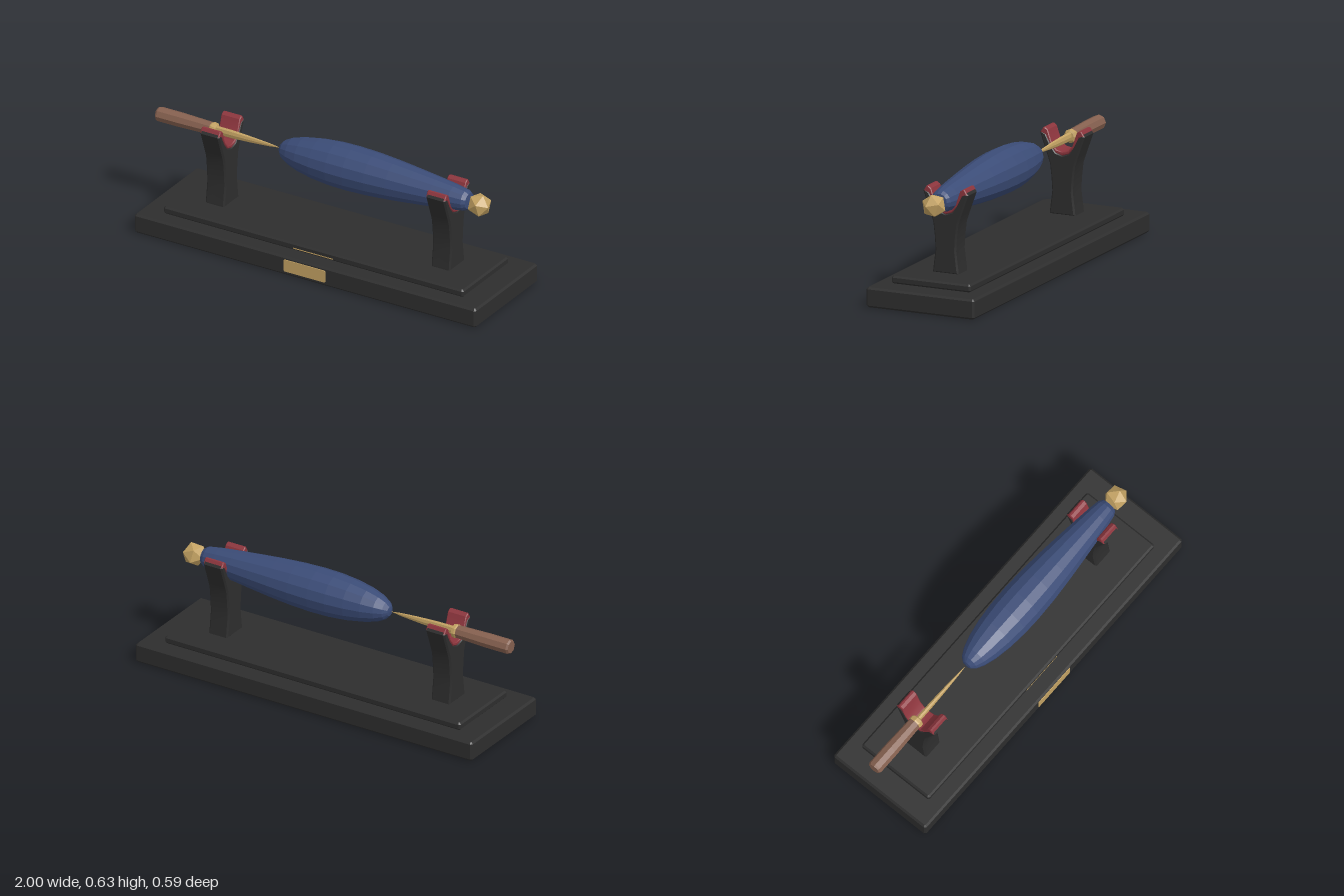
import * as THREE from 'three';
import { toCreasedNormals } from 'three/addons/utils/BufferGeometryUtils.js';

const material = (name, color, flatShading = false) => {
  const m = new THREE.MeshStandardMaterial({ color });
  m.name = name;
  m.flatShading = flatShading;
  return m;
};

export function createModel() {
  const black = material('black lacquer', 0x2d2d2d);
  const red = material('red felt', 0x8c353d);
  const blue = material('navy blue', 0x3b4c77, true);
  const gold = material('brass', 0xc2a162, true);
  const brown = material('brown wood', 0x85604f, true);

  const model = new THREE.Group();
  model.name = 'displayStand';

  const add = (name, geometry, mat, x = 0, y = 0, z = 0, parent = model) => {
    const mesh = new THREE.Mesh(geometry, mat);
    mesh.name = name;
    mesh.position.set(x, y, z);
    parent.add(mesh);
    return mesh;
  };

  // Extrusion whose chamfer stays inside the given outline, centred on its depth
  const chamfered = (points, depth, bevel) => {
    const shape = new THREE.Shape(points.map(([x, y]) => new THREE.Vector2(x, y)));
    const geometry = new THREE.ExtrudeGeometry(shape, {
      depth: depth - 2 * bevel, bevelEnabled: true, bevelSegments: 1,
      bevelThickness: bevel, bevelSize: bevel, bevelOffset: -bevel,
    });
    geometry.translate(0, 0, -(depth - 2 * bevel) / 2);
    return toCreasedNormals(geometry, 0.45);
  };

  // Flat slab with chamfered edges and corners
  const slab = (w, h, d, bevel) => {
    const x = w / 2, z = d / 2, c = bevel;
    return chamfered([
      [-x + c, -z], [x - c, -z], [x, -z + c], [x, z - c],
      [x - c, z], [-x + c, z], [-x, z - c], [-x, -z + c],
    ], h, bevel).rotateX(-Math.PI / 2);
  };

  // Turned part along x from [x, radius] pairs
  const turned = (profile, sides) => new THREE.LatheGeometry(
    profile.map(([x, r]) => new THREE.Vector2(r, x)), sides).rotateZ(-Math.PI / 2);

  // Stepped base and plaque
  add('base', slab(1.96, 0.102, 0.588, 0.01), black, 0.02, 0.051);
  add('baseStep', slab(1.72, 0.04, 0.43, 0.009), black, 0.02, 0.121);
  add('plaque', chamfered([
    [-0.12, -0.027], [-0.115, -0.033], [0.115, -0.033], [0.12, -0.027],
    [0.12, 0.027], [0.115, 0.033], [-0.115, 0.033], [-0.12, 0.027],
  ], 0.008, 0.001), gold, 0.02, 0.053, 0.293);
  add('plaqueTrim', new THREE.BoxGeometry(0.23, 0.005, 0.004), gold, 0.02, 0.113, 0.214);

  // Half outlines in z and y: the lining sits in the notch of the cradle
  const mirrored = (half) => [
    ...half, ...half.filter(([z]) => z > 0).reverse().map(([z, y]) => [-z, y]),
  ];
  const cradleOutline = mirrored([
    [0, 0.138], [0.07, 0.138], [0.068, 0.16], [0.056, 0.255], [0.06, 0.32],
    [0.068, 0.39], [0.083, 0.435], [0.122, 0.543], [0.113, 0.555],
    [0.088, 0.541], [0.06, 0.485], [0.035, 0.452], [0, 0.441],
  ]);
  const liningOutline = mirrored([
    [0, 0.438], [0.036, 0.449], [0.062, 0.482], [0.09, 0.535], [0.119, 0.545],
    [0.104, 0.57], [0.094, 0.571], [0.079, 0.56], [0.056, 0.492], [0.031, 0.464], [0, 0.457],
  ]);
  for (const [side, x] of [['right', -0.633], ['left', 0.662]]) {
    const cradle = new THREE.Group();
    cradle.name = side + 'Cradle';
    cradle.position.x = x;
    model.add(cradle);
    add('cradlePost', chamfered(cradleOutline, 0.11, 0.008).rotateY(Math.PI / 2), black, 0, 0, 0, cradle);
    add('cradleLining', chamfered(liningOutline, 0.108, 0.004).rotateY(Math.PI / 2), red, 0, 0, 0, cradle);
  }

  const axis = 0.515;

  // Long tapered body with a faceted end knob
  add('body', turned([
    [-0.298, 0], [-0.294, 0.025], [-0.275, 0.047], [-0.235, 0.068], [-0.17, 0.088],
    [-0.08, 0.104], [0.02, 0.113], [0.12, 0.115], [0.24, 0.111], [0.36, 0.102],
    [0.48, 0.09], [0.6, 0.077], [0.7, 0.065], [0.765, 0.054], [0.785, 0.042], [0.79, 0],
  ], 14), blue, 0, axis);
  const knob = add('endKnob', new THREE.IcosahedronGeometry(0.062, 0), gold, 0.843, 0.51);
  knob.rotation.set(0.2, 0.3, 0.15);

  // Wooden handle, collar and slim blade
  add('handle', turned([
    [-1, 0], [-1, 0.032], [-0.99, 0.038], [-0.87, 0.038], [-0.69, 0.033], [-0.69, 0],
  ], 8), brown, 0, axis);
  add('collar', turned([
    [-0.695, 0], [-0.695, 0.032], [-0.685, 0.036], [-0.668, 0.034], [-0.662, 0.024], [-0.66, 0],
  ], 8), gold, 0, axis);
  const blade = add('blade', turned([
    [-0.67, 0], [-0.67, 0.024], [-0.57, 0.023], [-0.46, 0.017], [-0.36, 0.009], [-0.298, 0],
  ], 8), gold, 0, axis);
  blade.scale.z = 0.55;

  return model;
}
